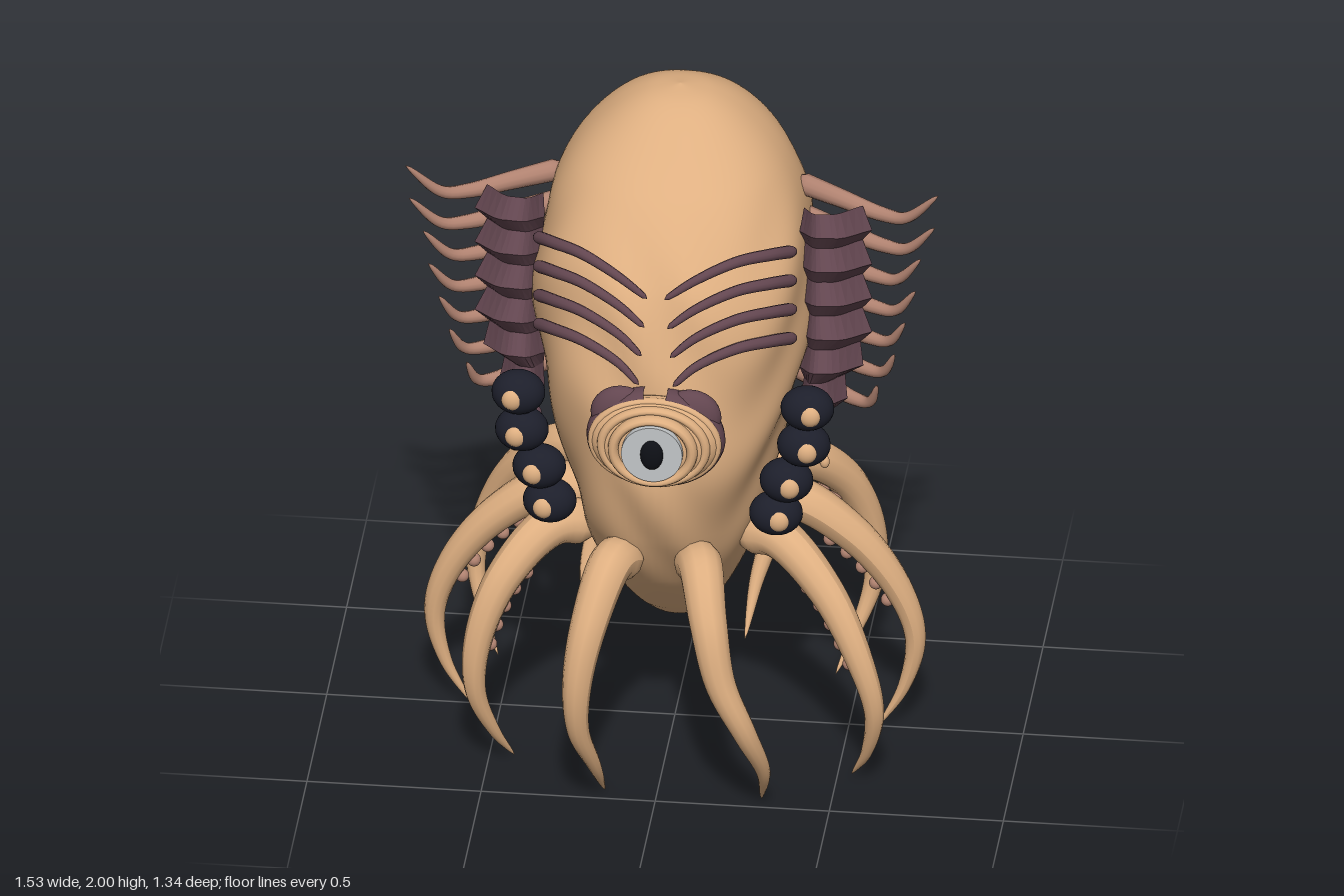
import * as THREE from 'three';

const mat = (name, color, side = THREE.FrontSide) => {
  const m = new THREE.MeshStandardMaterial({ color, side });
  m.name = name;
  return m;
};
const V = (x, y, z) => new THREE.Vector3(x, y, z);
const step = THREE.MathUtils.smoothstep;

export function createModel() {
  const root = new THREE.Group();
  root.name = 'tentacledCreature';
  const skin = mat('tanSkin', 0xdeaf81);
  const pink = mat('dustyPink', 0xb08270);
  const plum = mat('plum', 0x634650, THREE.DoubleSide);
  const dark = mat('darkNavy', 0x1d1f2b);
  const grey = mat('eyeGrey', 0xc3c6c8);
  const black = mat('pupilBlack', 0x0e1016);

  const add = (name, geo, m, parent = root) => {
    const mesh = new THREE.Mesh(geo, m);
    mesh.name = name;
    parent.add(mesh);
    return mesh;
  };
  const ball = (name, m, p, s, parent = root) => {
    const mesh = add(name, new THREE.SphereGeometry(1, 24, 16), m, parent);
    mesh.position.set(...p);
    mesh.scale.set(...s);
    return mesh;
  };
  // Tube that starts rounded and thins towards its tip
  const taper = (name, pts, r, m, parent, power, seg = 40) => {
    const curve = new THREE.CatmullRomCurve3(pts.map(p => V(...p)));
    const geo = new THREE.TubeGeometry(curve, seg, 1, 12);
    const pos = geo.attributes.position;
    for (let i = 0; i <= seg; i++) {
      const t = i / seg, c = curve.getPointAt(t);
      const k = r * Math.min(1, Math.sqrt(t / 0.06)) * Math.pow(1 - t, power) + 0.001;
      for (let j = 0; j <= 12; j++) {
        const n = i * 13 + j;
        const q = V(0, 0, 0).fromBufferAttribute(pos, n).sub(c).multiplyScalar(k).add(c);
        pos.setXYZ(n, q.x, q.y, q.z);
      }
    }
    geo.computeVertexNormals();
    add(name, geo, m, parent);
    return curve;
  };

  // Body: cross-sections of [height, half width, front z, back z]
  const profile = [
    [0.28, 0, -0.15, -0.15], [0.3, 0.06, -0.06, -0.23], [0.4, 0.14, 0.09, -0.37],
    [0.6, 0.225, 0.3, -0.46], [0.8, 0.275, 0.43, -0.49], [1.0, 0.32, 0.49, -0.505],
    [1.2, 0.37, 0.48, -0.515], [1.4, 0.4, 0.45, -0.505], [1.6, 0.385, 0.39, -0.48],
    [1.8, 0.31, 0.23, -0.425], [1.92, 0.2, 0.06, -0.34], [1.98, 0.1, -0.05, -0.24],
    [2.0, 0, -0.14, -0.14],
  ];
  const widths = new THREE.CatmullRomCurve3(profile.map(p => V(p[1], p[0], 0)));
  const depths = new THREE.CatmullRomCurve3(profile.map(p => V(p[2], p[0], p[3])));
  const rows = 144, cols = 96, verts = [], index = [];
  const square = v => Math.sign(v) * Math.pow(Math.abs(v), 0.87);
  for (let i = 0; i <= rows; i++) {
    const a = widths.getPoint(i / rows), d = depths.getPoint(i / rows), y = a.y;
    const fade = step(y, 0.5, 0.8) * (1 - step(y, 1.6, 1.85));
    for (let j = 0; j < cols; j++) {
      const th = j / cols * Math.PI * 2, sx = Math.sin(th), cz = Math.cos(th);
      const x = a.x * square(sx), z = (d.x + d.z) / 2 + (d.x - d.z) / 2 * square(cz);
      // arched ridges down the back, soft wrinkles elsewhere
      const spine = cz < 0 ? 1 - step(Math.abs(x), 0.09, 0.21) : 0;
      const groove = cz < 0 ? Math.exp(-(((Math.abs(x) - 0.2) / 0.035) ** 2)) : 0;
      const push = fade * (spine * 0.008 * Math.sin((y + 3 * x * x) * 57) - groove * 0.012
        + (1 - spine) * 0.008 * Math.sin(y * 15 + 9 * x + 3 * Math.sin(th * 3)));
      verts.push(x + sx * push, y, z + cz * push);
      if (i < rows) {
        const p = i * cols + j, q = i * cols + (j + 1) % cols;
        index.push(p, q, q + cols, p, q + cols, p + cols);
      }
    }
  }
  const bodyGeo = new THREE.BufferGeometry();
  bodyGeo.setAttribute('position', new THREE.Float32BufferAttribute(verts, 3));
  bodyGeo.setIndex(index);
  bodyGeo.computeVertexNormals();
  add('body', bodyGeo, skin);

  // Ten tentacles: five paths, repeated by a half turn
  const paths = [
    [[0.09, 0.7, 0.34], [0.125, 0.75, 0.45], [0.16, 0.64, 0.57], [0.2, 0.47, 0.62], [0.27, 0.31, 0.62], [0.315, 0.15, 0.55], [0.3, 0, 0.45]],
    [[-0.09, 0.7, 0.34], [-0.13, 0.75, 0.45], [-0.18, 0.62, 0.57], [-0.21, 0.45, 0.62], [-0.21, 0.29, 0.61], [-0.17, 0.13, 0.54], [-0.15, 0, 0.45]],
    [[0.2, 0.71, 0.16], [0.32, 0.74, 0.23], [0.47, 0.62, 0.32], [0.57, 0.44, 0.38], [0.615, 0.27, 0.385], [0.59, 0.11, 0.34], [0.54, 0, 0.28]],
    [[-0.2, 0.71, 0.16], [-0.32, 0.74, 0.23], [-0.45, 0.62, 0.33], [-0.52, 0.44, 0.38], [-0.53, 0.27, 0.385], [-0.48, 0.11, 0.34], [-0.43, 0, 0.28]],
    [[0.2, 0.7, 0], [0.33, 0.74, 0], [0.51, 0.63, 0], [0.64, 0.46, 0], [0.69, 0.3, 0], [0.66, 0.14, 0], [0.585, 0, 0]],
  ];
  for (let half = 0; half < 2; half++) {
    const ring = new THREE.Group();
    ring.name = half ? 'backTentacles' : 'frontTentacles';
    ring.rotation.y = half * Math.PI;
    root.add(ring);
    paths.forEach((path, n) => {
      const curve = taper('tentacle', path, 0.07, skin, ring, 0.72, 56);
      if (n < 2 && !half) return;
      // suckers along the inner side
      for (let k = 0; k < 5; k++) {
        const t = 0.3 + k * 0.065, c = curve.getPointAt(t), tan = curve.getTangentAt(t);
        const inward = V(-c.x, -0.1, -c.z).normalize();
        inward.addScaledVector(tan, -inward.dot(tan)).normalize();
        c.addScaledVector(inward, 0.07 * Math.pow(1 - t, 0.72) + 0.006);
        ball('sucker', pink, c.toArray(), [0.02, 0.02, 0.02], ring);
      }
    });
  }

  // Central eye: mound, flat iris, bulging pupil, ringed lids
  const eye = new THREE.Group();
  eye.name = 'centralEye';
  eye.position.set(0, 1.19, 0.5);
  root.add(eye);
  ball('eyeMound', skin, [0, 0, 0], [0.19, 0.14, 0.08], eye);
  const iris = add('iris', new THREE.CylinderGeometry(0.088, 0.088, 0.04, 40), grey, eye);
  iris.rotation.x = Math.PI / 2;
  iris.position.z = 0.068;
  ball('pupil', black, [0, 0, 0.088], [0.033, 0.047, 0.018], eye);
  for (const [rx, ry, z, tube] of [[0.113, 0.1, 0.062, 0.14], [0.148, 0.118, 0.04, 0.1], [0.178, 0.133, 0.012, 0.08]]) {
    const lid = add('eyelid', new THREE.TorusGeometry(1, tube, 12, 48), skin, eye);
    lid.scale.set(rx, ry, 0.17);
    lid.position.z = z;
  }
  for (const s of [-1, 1]) {
    const arc = 2.6;
    const rim = new THREE.TorusGeometry(1, 0.16, 12, 32, arc);
    rim.rotateZ(s > 0 ? 1.4 - arc : Math.PI - 1.4);
    const mesh = add('eyeRim', rim, plum, eye);
    mesh.scale.set(0.172, 0.135, 0.25);
    mesh.position.z = -0.02;
    ball('upperEyePad', plum, [s * 0.1, 0.072, -0.022], [0.088, 0.084, 0.042], eye);
  }

  for (const s of [-1, 1]) {
    const side = new THREE.Group();
    side.name = s > 0 ? 'leftSide' : 'rightSide';
    root.add(side);

    // Brow whiskers
    for (let i = 0; i < 4; i++) {
      const y = 1.65 - i * 0.095;
      taper('browWhisker', [
        [s * 0.375, y + 0.035, 0.235], [s * 0.31, y + 0.072, 0.33], [s * 0.22, y + 0.084, 0.405],
        [s * 0.11, y + 0.048, 0.46], [s * (0.025 + i * 0.008), y - 0.005, 0.485],
      ], 0.018, plum, side, 0.25);
    }

    // Stack of dark side eyes
    [[0.415, 1.21], [0.405, 1.09], [0.355, 0.97], [0.325, 0.86]].forEach(([x, y]) => {
      ball('sideEye', dark, [s * x, y, 0.305], [0.077, 0.066, 0.063], side);
      ball('sideEyeSpot', skin, [s * (x + 0.012), y, 0.35], [0.032, 0.034, 0.024], side);
    });

    // Pleated gill: a curved strip folded in a zigzag
    const across = new THREE.CatmullRomCurve3([
      V(0.37, 0, 0.05), V(0.42, 0, 0.13), V(0.475, 0, 0.125), V(0.555, 0, 0.02)]);
    const gill = new THREE.PlaneGeometry(1, 1, 12, 12);
    const gp = gill.attributes.position;
    for (let i = 0; i < gp.count; i++) {
      const u = gp.getX(i) + 0.5, v = gp.getY(i) + 0.5;
      const fold = Math.round(v * 12) % 2 ? 0.02 : -0.02;
      const c = across.getPoint(u);
      const narrow = 0.08 * (1 - step(v, 0, 0.4)) * u;
      gp.setXYZ(i, s * (c.x - narrow + fold * (u - 0.2)),
        1.04 + v * 0.67 + 0.03 * Math.sin(u * Math.PI), c.z + fold);
    }
    const gillGeo = gill.toNonIndexed();
    gillGeo.computeVertexNormals();
    add('gill', gillGeo, plum, side);
    ball('gillTip', plum, [s * 0.4, 1.03, 0.11], [0.03, 0.025, 0.03], side);
    ball('bead', skin, [s * 0.445, 0.935, 0.13], [0.014, 0.02, 0.014], side);

    // Row of feelers, hooking upward more sharply lower down
    [0.765, 0.755, 0.715, 0.7, 0.67, 0.64, 0.59].forEach((tip, i) => {
      const y = 1.7 - i * 0.102, bend = tip - 0.1 + i * 0.012;
      taper('feeler', [
        [s * 0.33, y, -0.14], [s * (0.33 + (bend - 0.33) * 0.4), y - 0.005, -0.065],
        [s * (0.33 + (bend - 0.33) * 0.8), y - 0.018, -0.005],
        [s * bend, y - 0.005, 0.03], [s * tip, y + 0.1 - i * 0.004, 0.075],
      ], 0.032, pink, side, 0.55, 30);
    });
  }
  return root;
}
